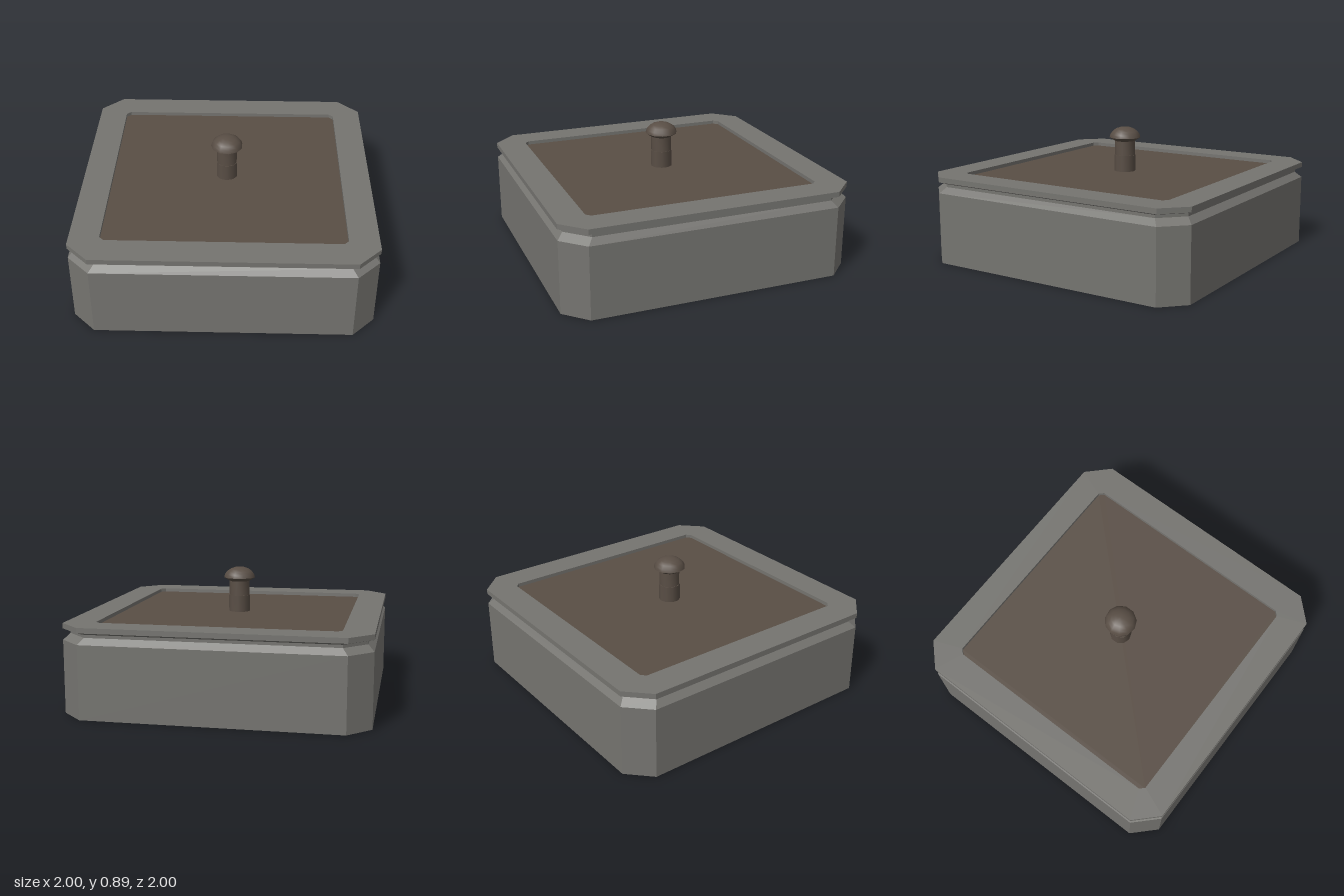
import * as THREE from 'three';
import { toCreasedNormals } from 'three/addons/utils/BufferGeometryUtils.js';

// Chamfered square outline at height y, wound from +z towards +x
function outline(half, cut, y) {
  const s = half - cut;
  return [[-s, half], [s, half], [half, s], [half, -s], [s, -half], [-s, -half], [-half, -s], [-half, s]]
    .map(([x, z]) => new THREE.Vector3(x, y, z));
}

// Flat-sided skin through a stack of [half, cut, y] outlines
function loft(levels, capped = false) {
  const rings = levels.map((l) => outline(...l));
  const points = [];
  for (let i = 0; i < rings.length - 1; i++) {
    for (let j = 0; j < 8; j++) {
      const k = (j + 1) % 8;
      const [a, b, c, d] = [rings[i][j], rings[i][k], rings[i + 1][k], rings[i + 1][j]];
      points.push(a, b, c, a, c, d);
    }
  }
  if (capped) {
    const top = rings[rings.length - 1];
    for (let j = 1; j < 7; j++) points.push(top[0], top[j], top[j + 1]);
  }
  const geometry = new THREE.BufferGeometry().setFromPoints(points);
  geometry.computeVertexNormals();
  return geometry;
}

// Turned part, smooth around and sharp along its profile edges
function turned(profile, sides, start = 0) {
  const points = profile.map(([r, y]) => new THREE.Vector2(r, y));
  return toCreasedNormals(new THREE.LatheGeometry(points, sides, start), Math.PI / 4.2);
}

export function createModel() {
  const group = new THREE.Group();
  const stone = new THREE.MeshStandardMaterial({ color: 0x757470, side: THREE.DoubleSide });
  stone.name = 'grey stone';
  const bronze = new THREE.MeshStandardMaterial({ color: 0x594e45, side: THREE.DoubleSide });
  bronze.name = 'dark bronze';

  const add = (name, geometry, material) => {
    const mesh = new THREE.Mesh(geometry, material);
    mesh.name = name;
    group.add(mesh);
  };

  // Hollow body, open below, with a groove under the rim
  add('baseShell', loft([
    [1, 0.15, 0], [1, 0.15, 0.49], [0.96, 0.144, 0.53], [0.96, 0.144, 0.55],
    [1, 0.15, 0.565], [1, 0.15, 0.6], [0.8, 0.03, 0.6], [0.8, 0.03, 0.575],
  ]), stone);

  // Recessed top panel
  add('topPanel', loft([[0.8, 0.03, 0.574], [0.8, 0.03, 0.575]], true), bronze);

  // Lower shaft with a flared, hollow foot
  add('lowerShaft', turned([
    [0, 0.05], [0.065, 0.05], [0.08, 0], [0.1, 0], [0.1, 0.015], [0.075, 0.035], [0.075, 0.69], [0.07, 0.69],
  ], 10), bronze);

  // Upper shaft
  add('upperShaft', turned([[0.071, 0.66], [0.071, 0.81]], 11, -Math.PI / 2), bronze);

  // Domed button with a tapered underside
  const knob = [[0.07, 0.79], [0.11, 0.815]];
  for (let i = 1; i <= 5; i++) {
    const a = (i / 5) * Math.PI / 2;
    knob.push([0.11 * Math.cos(a), 0.815 + 0.075 * Math.sin(a)]);
  }
  add('knob', turned(knob, 11, -Math.PI / 2), bronze);

  return group;
}
